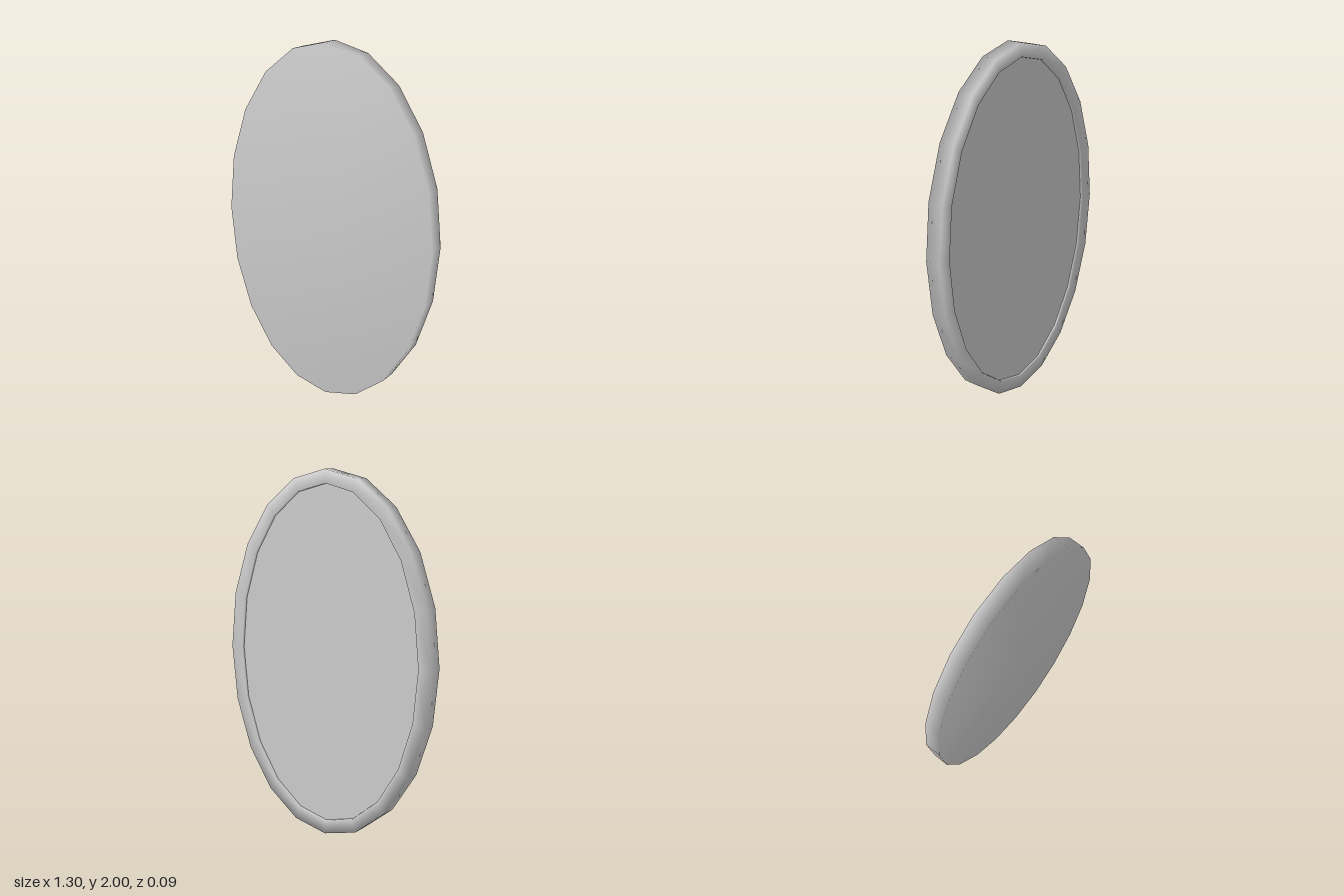
import * as THREE from 'three';

const SIDES = 20;
const RX = 0.65, RY = 1;

// Lofts oval rings, each given as [inset from the outer edge, z]; an inset of null is a centre point.
function loftOval(profile) {
  const positions = [], index = [];
  profile.forEach(([inset, z]) => {
    for (let i = 0; i < SIDES; i++) {
      const a = (i / SIDES) * Math.PI * 2;
      const rx = inset === null ? 0 : RX - inset;
      const ry = inset === null ? 0 : RY - inset;
      positions.push(Math.cos(a) * rx, 1 + Math.sin(a) * ry, z);
    }
  });
  for (let r = 0; r < profile.length - 1; r++) {
    for (let i = 0; i < SIDES; i++) {
      const j = (i + 1) % SIDES;
      const a = r * SIDES + i, b = r * SIDES + j;
      const c = a + SIDES, d = b + SIDES;
      if (profile[r][0] !== null) index.push(a, c, b);
      if (profile[r + 1][0] !== null) index.push(b, c, d);
    }
  }
  const geometry = new THREE.BufferGeometry();
  geometry.setAttribute('position', new THREE.Float32BufferAttribute(positions, 3));
  geometry.setIndex(index);
  geometry.computeVertexNormals();
  return geometry;
}

export function createModel() {
  const group = new THREE.Group();
  group.name = 'ovalPanel';
  const material = new THREE.MeshStandardMaterial({ color: 0xcccccc });

  const add = (name, profile) => {
    const mesh = new THREE.Mesh(loftOval(profile), material);
    mesh.name = name;
    group.add(mesh);
  };

  // Front face running smoothly over the outer edge into the raised back rim
  add('frontAndRim', [[null, 0.045], [0, 0.045], [0, -0.045], [0.073, -0.045], [0.075, -0.03]]);

  // Flat panel set slightly into the back
  add('backPanel', [[0.075, -0.03], [null, -0.03]]);

  return group;
}
